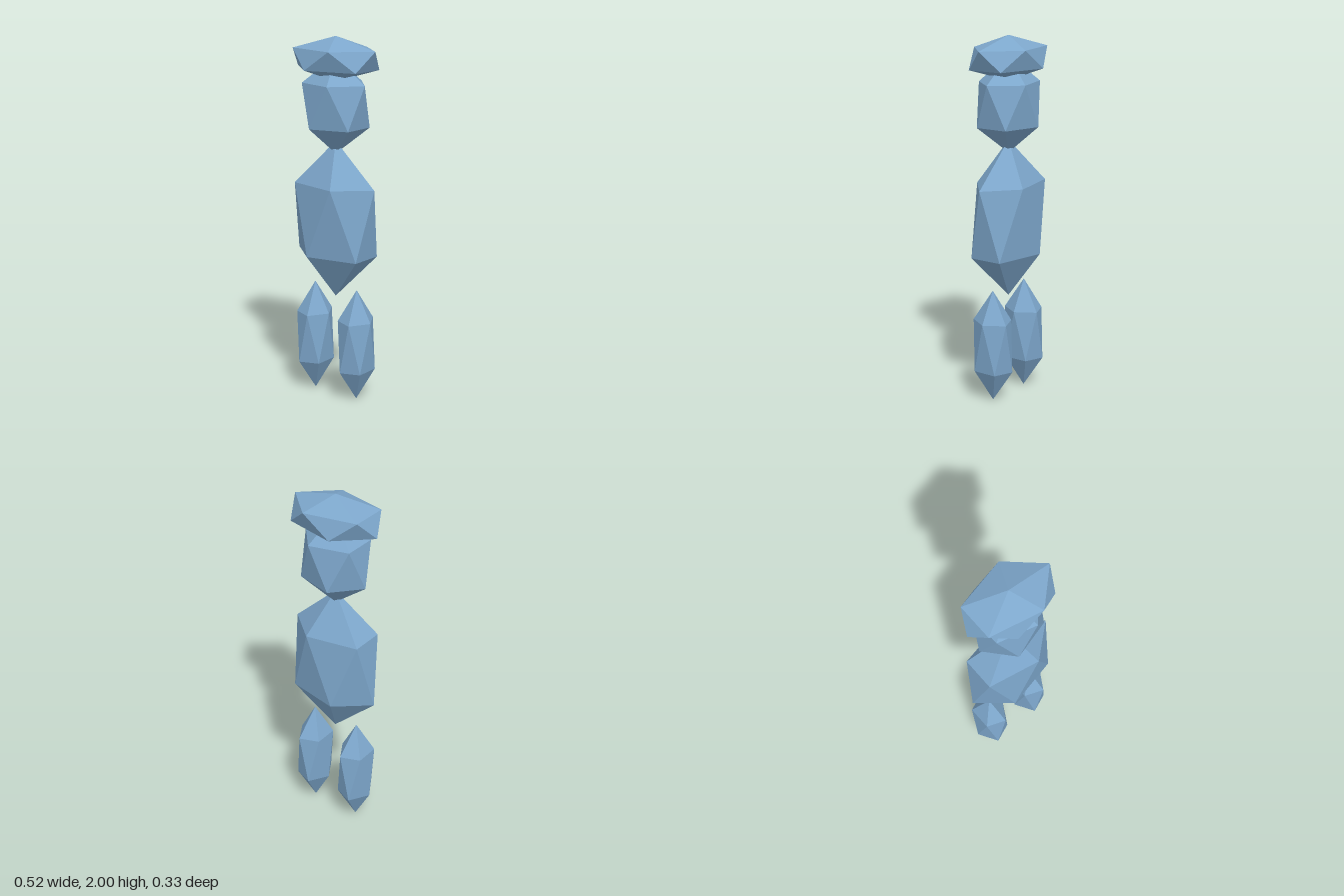
import * as THREE from 'three';

export function createModel() {
  const model = new THREE.Group();
  const blue = new THREE.MeshStandardMaterial({ color: 0x7da7cc, flatShading: true });
  blue.name = 'steel blue';

  // Faceted gem: an icosahedron turned so that one corner points straight up
  const gem = (name, x, y, rx, ry, rz) => {
    const geometry = new THREE.IcosahedronGeometry(1, 0);
    geometry.rotateZ(-Math.atan(2 / (1 + Math.sqrt(5))));
    geometry.scale(rx, ry, rz);
    const mesh = new THREE.Mesh(geometry, blue);
    mesh.name = name;
    mesh.position.set(x, y, 0);
    model.add(mesh);
  };

  gem('hat', 0, 1.88, 0.291, 0.12, 0.196);
  gem('head', 0, 1.633, 0.216, 0.262, 0.179);
  gem('body', 0, 1.006, 0.291, 0.435, 0.179);

  // Both legs share the same orientation
  gem('leftLeg', 0.145, 0.315, 0.107, 0.315, 0.129);
  gem('rightLeg', -0.145, 0.315, 0.107, 0.315, 0.129);

  return model;
}
